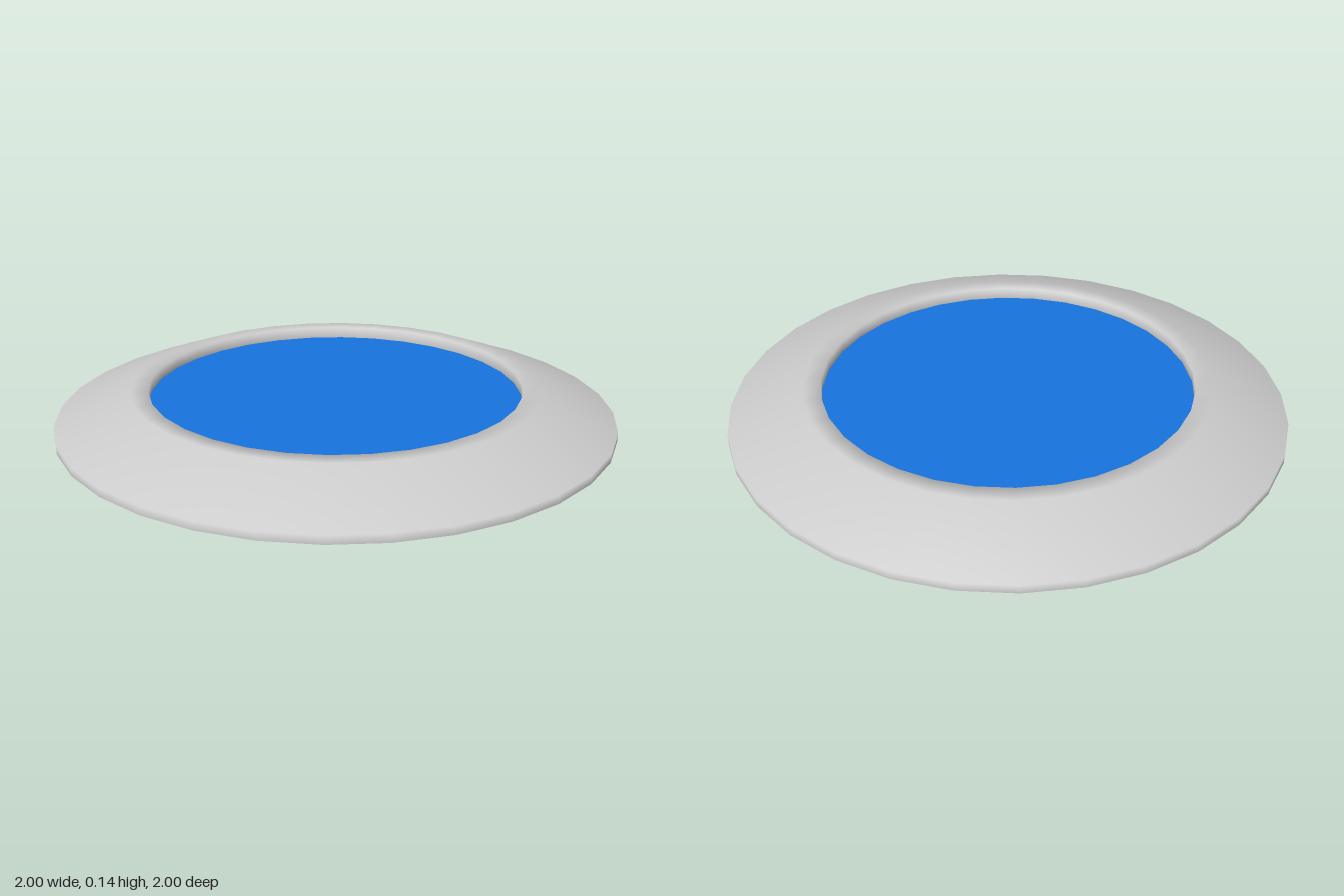
import * as THREE from 'three';

const SIDES = 32;

export function createModel() {
  const group = new THREE.Group();

  // Thin flared bezel: rim, sloped face, narrow flat lip, recess wall
  const profile = [
    [1, 0], [1, 0.03], [0.73, 0.135], [0.667, 0.135], [0.667, 0.093],
  ].map(([r, y]) => new THREE.Vector2(r, y));
  const bezel = new THREE.Mesh(
    new THREE.LatheGeometry(profile, SIDES),
    new THREE.MeshStandardMaterial({ color: 0xcccccc, side: THREE.DoubleSide })
  );
  bezel.name = 'bezel';
  group.add(bezel);

  // Flat coloured disc at the foot of the recess wall
  const disc = new THREE.Mesh(
    new THREE.CircleGeometry(0.667, SIDES).rotateX(-Math.PI / 2),
    new THREE.MeshStandardMaterial({ color: 0x1673de, side: THREE.DoubleSide })
  );
  disc.name = 'disc';
  disc.position.y = 0.093;
  group.add(disc);

  return group;
}
